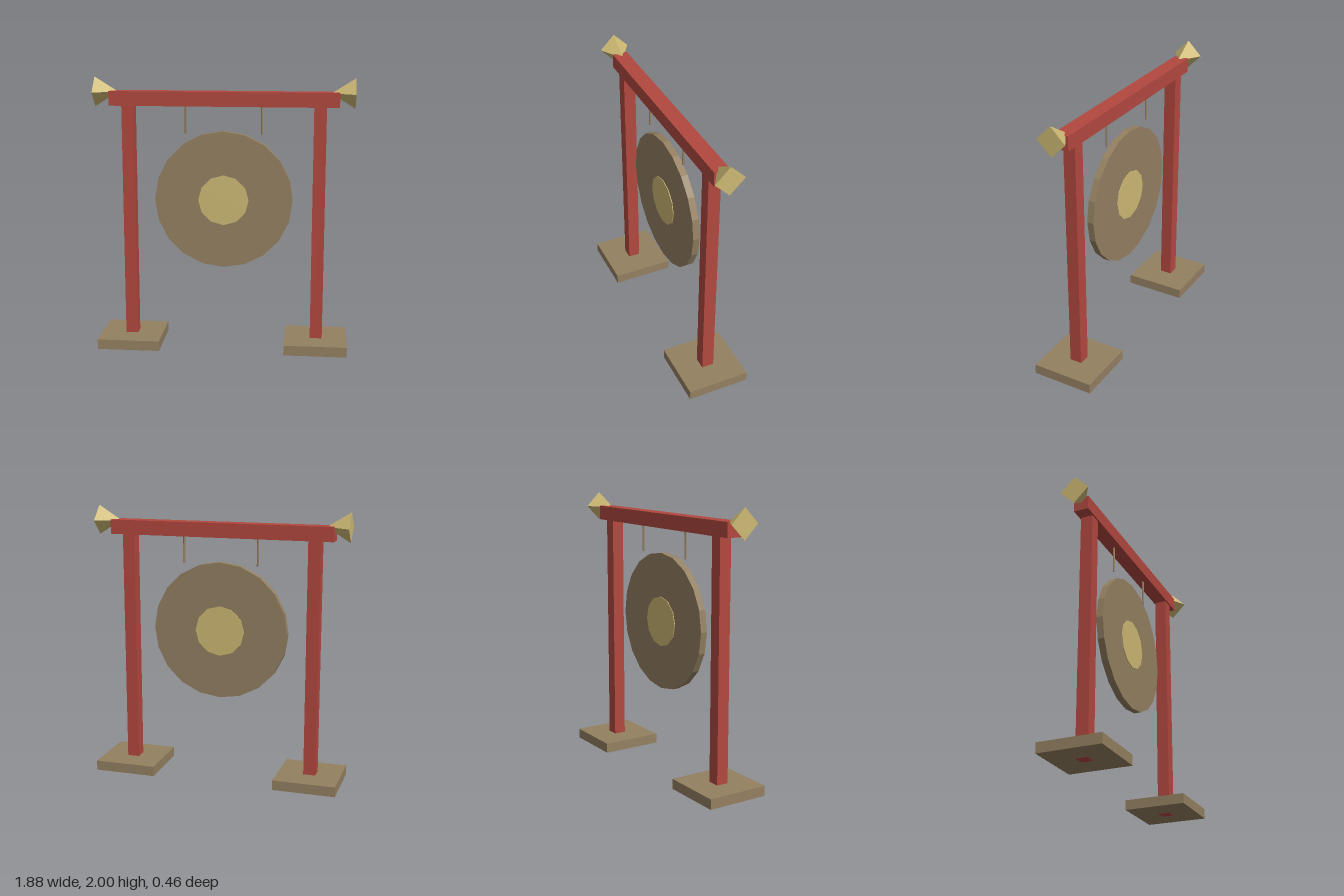
import * as THREE from 'three';

function material(name, color) {
  const m = new THREE.MeshStandardMaterial({ color });
  m.name = name;
  return m;
}

export function createModel() {
  const group = new THREE.Group();
  const red = material('red lacquer', 0xb2483f);
  const bronze = material('bronze brown', 0x948061);
  const gold = material('pale gold', 0xcdb974);

  // Flat-shaded part placed at a point
  function add(name, geometry, mat, x, y, z = 0) {
    const flat = geometry.index ? geometry.toNonIndexed() : geometry;
    flat.computeVertexNormals();
    const mesh = new THREE.Mesh(flat, mat);
    mesh.name = name;
    mesh.position.set(x, y, z);
    group.add(mesh);
    return mesh;
  }

  // Disc whose flat faces look along z, with a corner at the top
  const disc = (radius, depth, sides) =>
    new THREE.CylinderGeometry(radius, radius, depth, sides).rotateX(Math.PI / 2);

  // Crossbeam
  add('crossbeam', new THREE.BoxGeometry(1.66, 0.105, 0.11), red, 0, 1.8475);

  for (const side of [-1, 1]) {
    const label = side > 0 ? 'left' : 'right';
    // Foot plate, with the post running through it to the ground
    add(label + 'Foot', new THREE.BoxGeometry(0.46, 0.074, 0.46), bronze, side * 0.69, 0.038);
    add(label + 'Post', new THREE.BoxGeometry(0.09, 1.82, 0.09), red, side * 0.694, 0.91);

    // Four-sided finial with its point buried in the beam
    const finial = new THREE.ConeGeometry(0.1075, 0.172, 4).rotateZ(side * Math.PI / 2);
    add(label + 'Finial', finial, gold, side * 0.854, 1.8925);

    // Hanging cord
    add(label + 'Cord', new THREE.CylinderGeometry(0.008, 0.008, 0.22, 6), bronze, side * 0.277, 1.705);
  }

  // Gong and its raised centre, showing on both faces
  add('gong', disc(0.505, 0.05, 20), bronze, 0, 1.108);
  add('gongBoss', disc(0.185, 0.06, 12), gold, 0, 1.108);

  return group;
}
